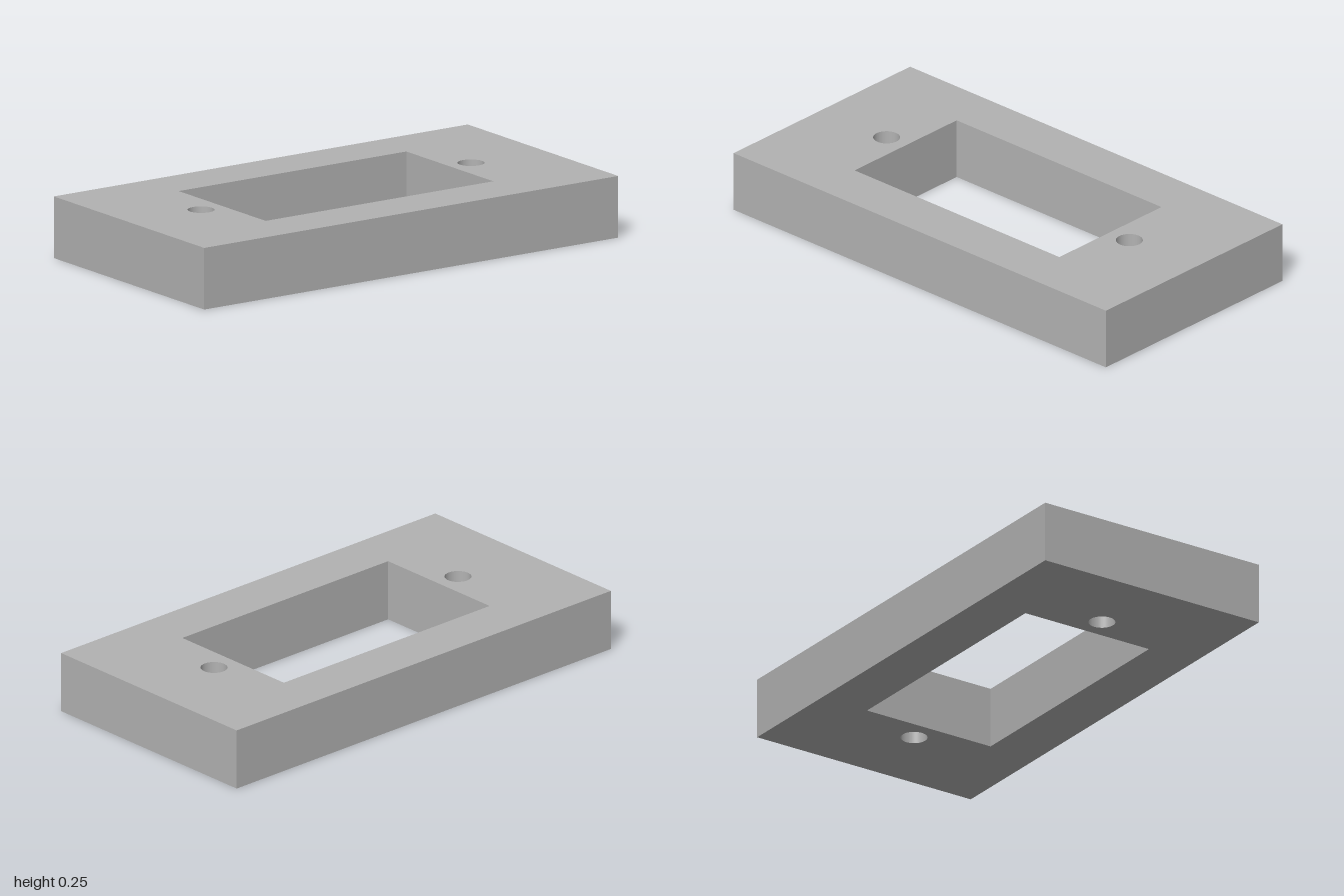
import * as THREE from 'three';

const LENGTH = 2, DEPTH = 1.02, HEIGHT = 0.25;
const WINDOW_LENGTH = 1.1, WINDOW_DEPTH = 0.59;
const HOLE_X = 0.652, HOLE_RADIUS = 0.053;

// Traces a centred rectangle on a Shape or Path
function rectangle(path, w, h) {
  path.moveTo(-w / 2, -h / 2);
  path.lineTo(w / 2, -h / 2);
  path.lineTo(w / 2, h / 2);
  path.lineTo(-w / 2, h / 2);
  path.closePath();
  return path;
}

export function createModel() {
  const model = new THREE.Group();
  model.name = 'mountingFrame';

  const grey = new THREE.MeshStandardMaterial({ color: 0xb2b2b2 });
  grey.name = 'grey';

  // Plate outline with the central window
  const outline = rectangle(new THREE.Shape(), LENGTH, DEPTH);
  outline.holes.push(rectangle(new THREE.Path(), WINDOW_LENGTH, WINDOW_DEPTH));

  // Screw hole on each side of the window
  for (const side of [-1, 1]) {
    outline.holes.push(new THREE.Path().absarc(side * HOLE_X, 0, HOLE_RADIUS, 0, Math.PI * 2, true));
  }

  // Plate laid flat, standing on y = 0
  const geometry = new THREE.ExtrudeGeometry(outline, {
    depth: HEIGHT, bevelEnabled: false, curveSegments: 40,
  });
  geometry.rotateX(-Math.PI / 2);

  const plate = new THREE.Mesh(geometry, grey);
  plate.name = 'framePlate';
  model.add(plate);
  return model;
}
